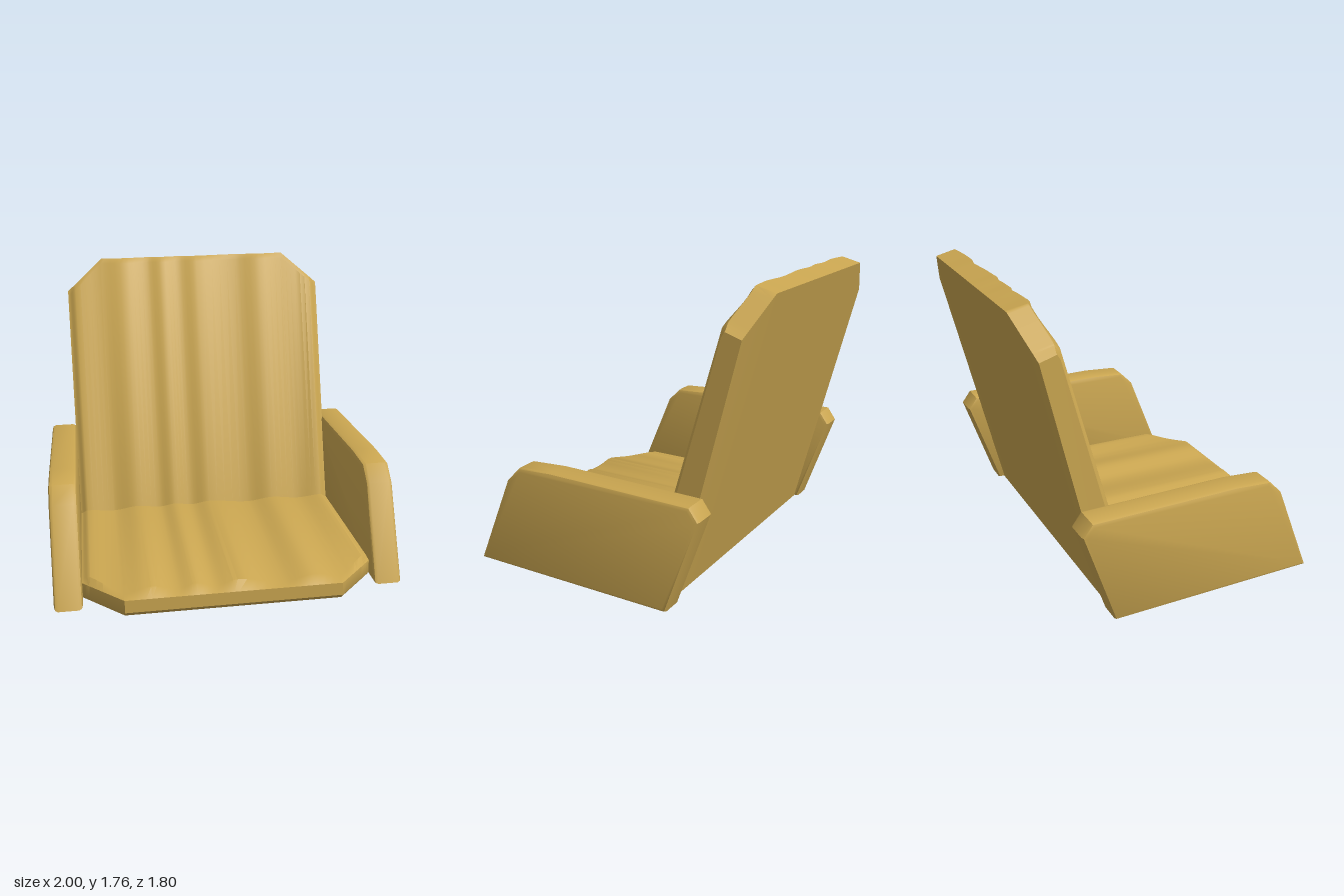
import * as THREE from 'three';
import { toCreasedNormals } from 'three/addons/utils/BufferGeometryUtils.js';

// Pleat depth across the width: [x, offset]
const PLEATS = [
  [-0.84, -0.03], [-0.79, 0], [-0.62, -0.022], [-0.46, 0.012], [-0.31, -0.015], [-0.21, 0.01],
  [-0.1, -0.014], [0.02, 0.014], [0.29, -0.026], [0.45, 0.008], [0.64, -0.022], [0.79, 0], [0.84, -0.03],
];
const STEPS = 5;
const lerp = THREE.MathUtils.lerp;

// Side profile [z, y] of seat and backrest at one x; corners are cut back near the sides
function section(x, pleat) {
  const cut = THREE.MathUtils.clamp((Math.abs(x) - 0.61) / 0.23, 0, 1);
  const front = 0.9 - 0.25 * cut;
  const top = 1.755 - 0.2 * cut;
  const faceZ = (y) => -0.3 - 0.283 * (y - 0.16);
  const rearZ = (y) => -0.455 - 0.264 * (y - 0.03) + 0.02 * cut;
  const p = pleat;
  return [
    [front - 0.03, 0.015],
    [front, 0.045],
    [front, 0.12],
    [front - 0.05, 0.155 + p],
    [-0.3 + p, 0.16 + p],
    [faceZ(top - 0.03) + p, top - 0.03],
    [faceZ(top) - 0.025 + p * 0.5, top],
    [rearZ(top - 0.03), top - 0.03],
    [-0.46, 0.03],
  ];
}

// One pleated shell forming the seat cushion and the backrest
function cushionGeometry() {
  const pos = [], index = [], columns = [];
  for (let k = 0; k < PLEATS.length - 1; k++) {
    const [x0, d0] = PLEATS[k], [x1, d1] = PLEATS[k + 1];
    for (let s = 0; s < STEPS; s++) {
      const t = s / STEPS;
      columns.push([lerp(x0, x1, t), lerp(d0, d1, t * t * (3 - 2 * t))]);
    }
  }
  columns.push(PLEATS[PLEATS.length - 1]);
  // Exact columns where the corner cuts start
  columns.push([-0.61, -0.022], [0.61, -0.02]);
  columns.sort((a, b) => a[0] - b[0]);

  for (const [x, d] of columns) for (const [z, y] of section(x, d)) pos.push(x, y, z);
  const n = section(0, 0).length;
  const last = (columns.length - 1) * n;
  for (let i = 0; i < columns.length - 1; i++) {
    for (let j = 0; j < n; j++) {
      const k = (j + 1) % n;
      const a = i * n + j, b = a + n, c = (i + 1) * n + k, d = i * n + k;
      index.push(a, b, c, a, c, d);
    }
  }
  // Side caps, fanned from the lower rear corner
  for (let j = 0; j < n - 2; j++) {
    index.push(n - 1, j, j + 1);
    index.push(last + n - 1, last + j + 1, last + j);
  }
  const geo = new THREE.BufferGeometry();
  geo.setAttribute('position', new THREE.Float32BufferAttribute(pos, 3));
  geo.setIndex(index);
  return toCreasedNormals(geo, 0.75);
}

// Slanted armrest panel with softened edges
function armGeometry() {
  const outline = [
    [0.78, 0.025], [0.56, 0.565], [0.47, 0.655], [0.25, 0.67],
    [-0.63, 0.665], [-0.685, 0.59], [-0.49, 0.025],
  ];
  const shape = new THREE.Shape(outline.map(([z, y]) => new THREE.Vector2(z, y)));
  const bevel = 0.022;
  const geo = new THREE.ExtrudeGeometry(shape, {
    depth: 0.16 - 2 * bevel, bevelEnabled: true, bevelThickness: bevel,
    bevelSize: bevel, bevelOffset: -bevel, bevelSegments: 2,
  });
  geo.translate(0, 0, bevel - 0.08);
  geo.rotateY(-Math.PI / 2);
  return toCreasedNormals(geo, 0.75);
}

export function createModel() {
  const model = new THREE.Group();
  model.name = 'armchair';
  const upholstery = new THREE.MeshStandardMaterial({ color: 0xc9a550 });
  upholstery.name = 'mustard upholstery';

  // The chair leans very slightly to one side
  const chair = new THREE.Group();
  chair.name = 'chairBody';
  chair.rotation.z = 0.017;
  model.add(chair);

  const cushion = new THREE.Mesh(cushionGeometry(), upholstery);
  cushion.name = 'seatAndBackrest';
  chair.add(cushion);

  const armGeo = armGeometry();
  for (const side of [1, -1]) {
    const arm = new THREE.Mesh(armGeo, upholstery);
    arm.name = side > 0 ? 'leftArmrest' : 'rightArmrest';
    arm.position.set(side * 0.917, 0, side > 0 ? -0.005 : 0.01);
    chair.add(arm);
  }
  return model;
}
